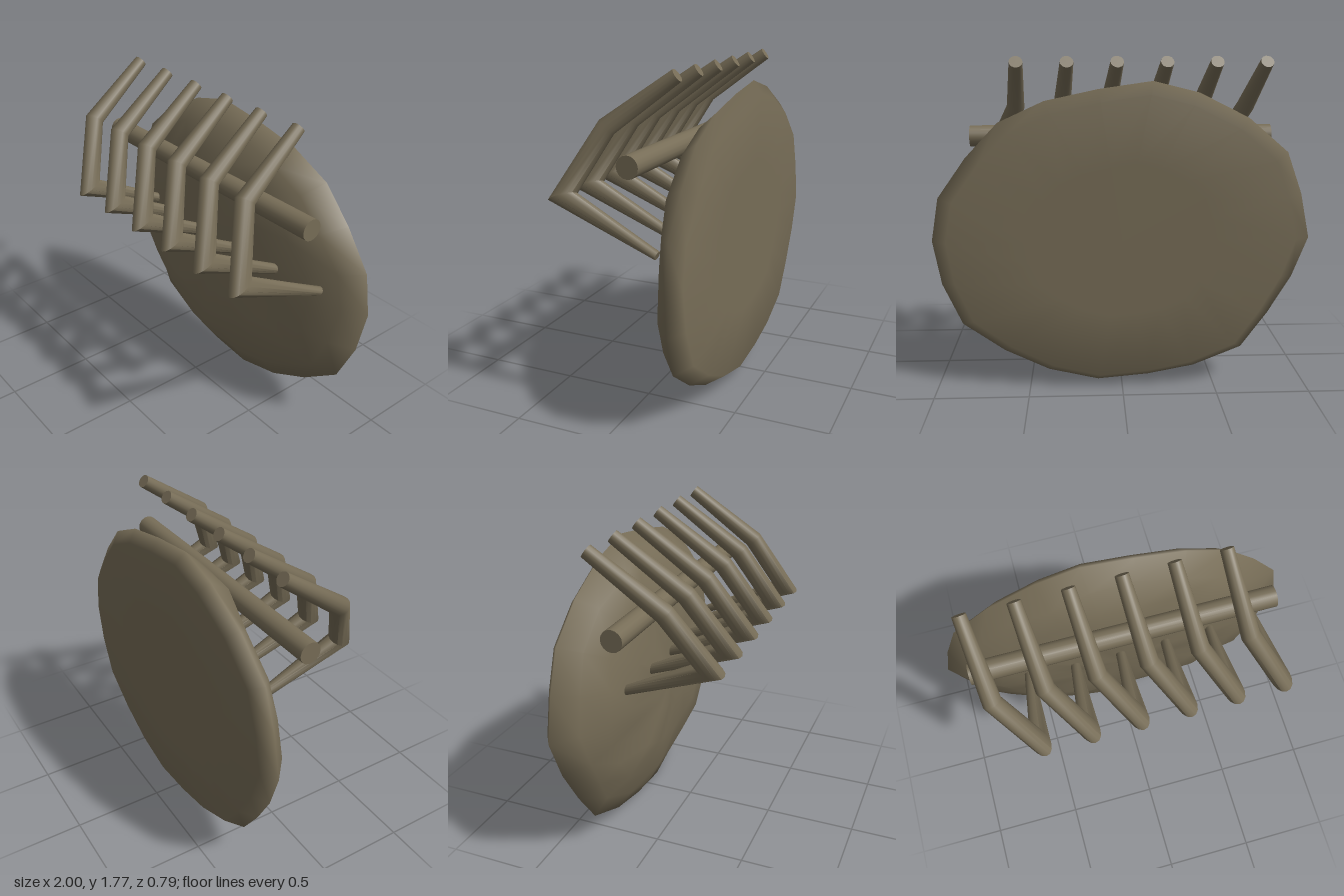
import * as THREE from 'three';
import { mergeVertices, toCreasedNormals } from 'three/addons/utils/BufferGeometryUtils.js';

// Skin a list of equal-length rings (arrays of Vector3), counter-clockwise about the direction of travel
function loft(rings, crease) {
  const n = rings[0].length, index = [];
  for (let r = 0; r < rings.length - 1; r++) {
    for (let i = 0; i < n; i++) {
      const a = r * n + i, b = r * n + (i + 1) % n;
      index.push(a, b, b + n, a, b + n, a + n);
    }
  }
  let geometry = new THREE.BufferGeometry().setFromPoints(rings.flat());
  geometry.setIndex(index);
  geometry = mergeVertices(geometry, 1e-4);
  if (crease) return toCreasedNormals(geometry, crease);
  geometry.computeVertexNormals();
  return geometry;
}

// Flat-backed, lumpy stone slab
function slabGeometry() {
  const outline = [
    [-1, 0.82], [-0.95, 1.06], [-0.87, 1.28], [-0.66, 1.46], [-0.4, 1.59], [-0.16, 1.65],
    [0.12, 1.61], [0.4, 1.55], [0.64, 1.44], [0.81, 1.26], [0.96, 1.05], [1, 0.82],
    [0.96, 0.58], [0.86, 0.35], [0.64, 0.19], [0.4, 0.07], [0.13, 0.005], [-0.15, 0.03],
    [-0.4, 0.08], [-0.66, 0.19], [-0.8, 0.39], [-0.92, 0.6],
  ].reverse();
  // scale of the outline, z, and lumpiness from the back centre to the front centre
  const profile = [
    [0, -0.39, 0], [0.5, -0.39, 0], [0.92, -0.39, 0], [1, -0.335, 0], [0.88, -0.235, 0.018],
    [0.72, -0.165, 0.014], [0.5, -0.125, 0.01], [0.25, -0.11, 0.005], [0, -0.11, 0],
  ];
  const rings = profile.map(([s, z, lump], r) => outline.map(([x, y]) => {
    const t = Math.atan2(y - 0.82, x);
    const bump = lump * (Math.sin(5 * t + r) + 0.6 * Math.sin(8 * t - 2 * r));
    const low = r === 3 ? 0.05 * Math.max(0, -Math.sin(t)) : 0;
    return new THREE.Vector3(x * s, 0.82 + (y - 0.82) * s, z + bump + low);
  }));
  return loft(rings);
}

// Tapered, mitred bent bar with flat ends
function ribGeometry() {
  const path = [[-0.775, 1.742, -0.197], [-0.738, 1.477, 0.17], [-0.57, 1.146, 0.333], [-0.543, 0.918, -0.195]]
    .map((p) => new THREE.Vector3(...p));
  const radii = [0.036, 0.05, 0.054, 0.024], sides = 14;
  const dirs = path.slice(1).map((p, i) => p.clone().sub(path[i]).normalize());
  const rings = path.map((p, k) => {
    const d = dirs[Math.max(k - 1, 0)], next = dirs[Math.min(k, dirs.length - 1)];
    const miter = d.clone().add(next).normalize();
    const v = d.clone().cross(new THREE.Vector3(1, 0, 0)).normalize();
    const u = v.clone().cross(d);
    return Array.from({ length: sides }, (_, i) => {
      const a = (i / sides) * Math.PI * 2;
      const o = u.clone().multiplyScalar(Math.cos(a) * radii[k]).addScaledVector(v, Math.sin(a) * radii[k]);
      return o.addScaledVector(d, -o.dot(miter) / d.dot(miter)).add(p);
    });
  });
  const cap = (p) => Array.from({ length: sides }, () => p.clone());
  return loft([cap(path[0]), ...rings, cap(path[3])], 1.1);
}

export function createModel() {
  const model = new THREE.Group();
  const stone = new THREE.MeshStandardMaterial({ color: 0x776d57 });
  stone.name = 'brownStone';
  const add = (name, geometry) => {
    const mesh = new THREE.Mesh(geometry, stone);
    mesh.name = name;
    model.add(mesh);
    return mesh;
  };

  add('stoneSlab', slabGeometry());

  // Crossbar behind the ribs
  const bar = add('crossbar', new THREE.CylinderGeometry(0.058, 0.058, 1.645, 16));
  bar.rotation.z = Math.PI / 2;
  bar.position.set(-0.008, 1.34, -0.06);

  // Row of six bent ribs
  const rib = ribGeometry();
  for (let i = 0; i < 6; i++) add('rib' + (i + 1), rib).position.x = i * 0.2645;

  return model;
}
